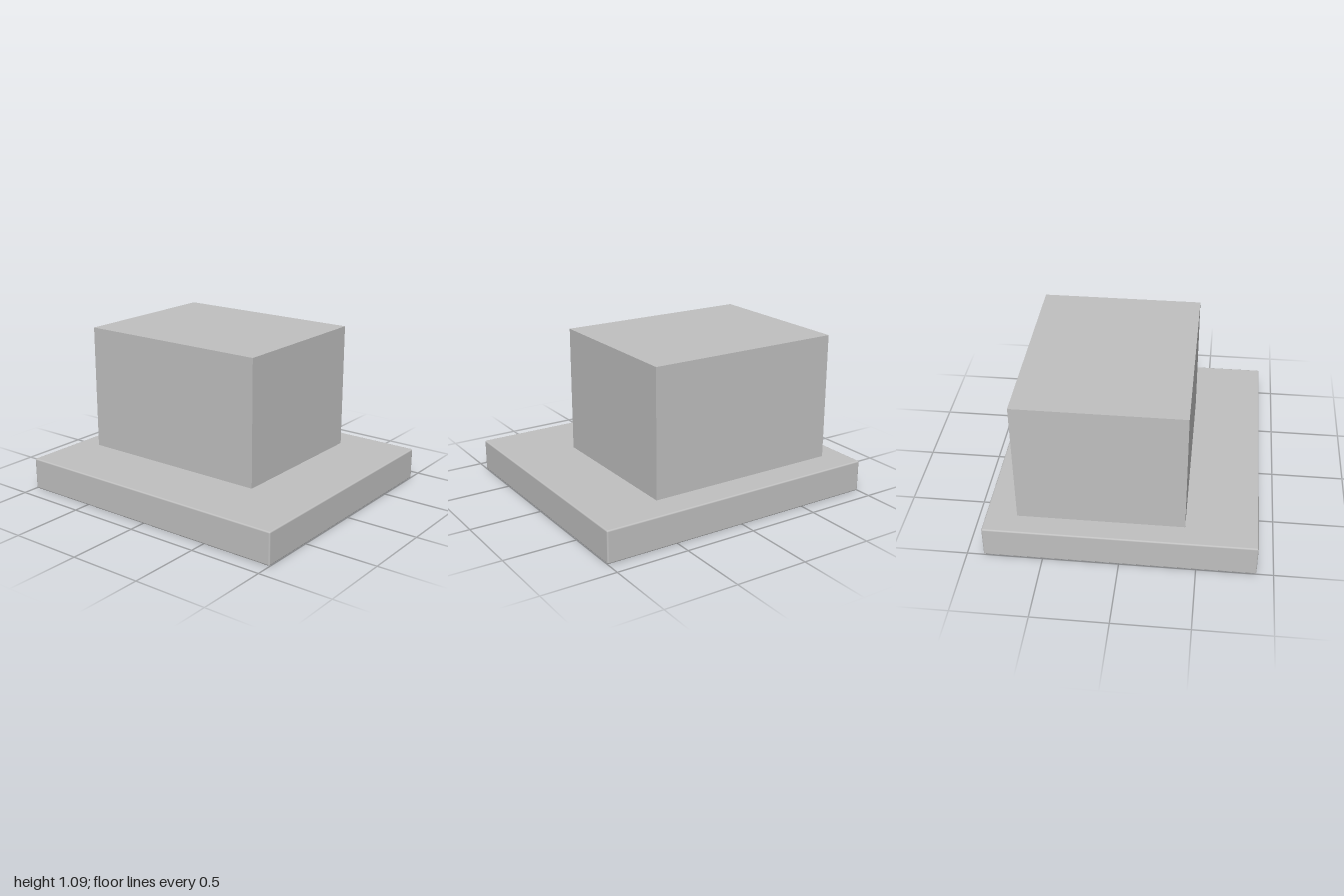
import * as THREE from 'three';
import { RoundedBoxGeometry } from 'three/addons/geometries/RoundedBoxGeometry.js';

export function createModel() {
  const model = new THREE.Group();
  const grey = new THREE.MeshStandardMaterial({ color: 0xc0c0c0 });
  grey.name = 'light grey';

  const add = (name, geometry, x, y, z) => {
    const mesh = new THREE.Mesh(geometry, grey);
    mesh.name = name;
    mesh.position.set(x, y, z);
    model.add(mesh);
  };

  // Wide slab with finely eased edges
  add('baseSlab', new RoundedBoxGeometry(2, 0.22, 1.78, 2, 0.01), 0, 0.11, 0);

  // Sharp-edged block, set off-centre towards the back and -x
  add('upperBlock', new THREE.BoxGeometry(1.37, 0.87, 1.1), -0.16, 0.655, -0.133);

  return model;
}
